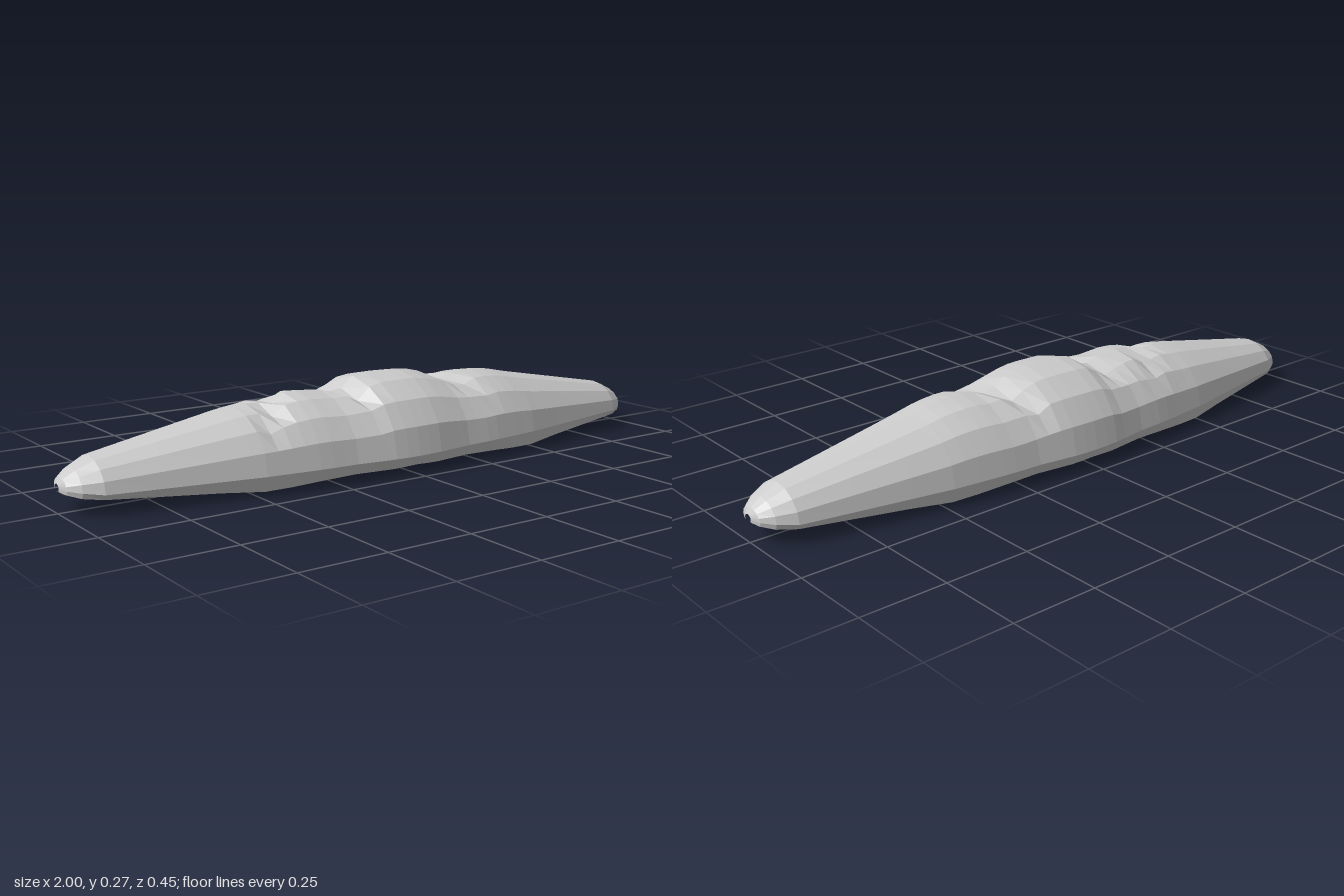
import * as THREE from 'three';

// Linear interpolation through [x, value] pairs
function sample(table, x) {
  for (let i = 1; i < table.length; i++) {
    const [x0, v0] = table[i - 1], [x1, v1] = table[i];
    if (x <= x1) return v0 + (v1 - v0) * Math.max(0, (x - x0) / (x1 - x0));
  }
  return table[table.length - 1][1];
}

// Half width, underside and widest-line height, by distance from the middle
const width = [[0, 0.225], [0.07, 0.223], [0.2, 0.205], [0.3, 0.2], [0.48, 0.18],
  [0.91, 0.1], [0.96, 0.073], [0.99, 0.043], [1, 0.014]];
const under = [[0, 0.014], [0.07, 0.011], [0.2, 0.011], [0.3, 0.008], [0.4, 0.002], [0.48, 0],
  [0.6, 0.012], [0.91, 0.036], [0.96, 0.043], [0.99, 0.053], [1, 0.06]];
const waist = [[0, 0.055], [0.91, 0.057], [1, 0.068]];
// Crest height along the loaf
const crest = [[-1, 0.08], [-0.99, 0.095], [-0.96, 0.118], [-0.91, 0.142], [-0.5, 0.215],
  [-0.44, 0.222], [-0.3, 0.244], [-0.2, 0.236], [-0.12, 0.243], [-0.07, 0.268], [0.07, 0.27],
  [0.13, 0.262], [0.2, 0.243], [0.27, 0.235], [0.34, 0.242], [0.42, 0.236], [0.5, 0.218],
  [0.91, 0.142], [0.96, 0.118], [0.99, 0.095], [1, 0.08]];

// Diagonal cuts on the crust: from (x, z) to (x, z), half width, depth
const slashes = [
  [-0.44, 0.15, -0.3, -0.15, 0.045, 0.026],
  [-0.1, 0.14, -0.17, -0.09, 0.045, 0.026],
  [0.29, 0.14, 0.16, -0.15, 0.045, 0.024],
];

function cutDepth(x, z) {
  let depth = 0;
  for (const [x0, z0, x1, z1, half, d] of slashes) {
    const t = (z - z0) / (z1 - z0);
    if (t < 0 || t > 1) continue;
    const gap = Math.abs(x - (x0 + (x1 - x0) * t));
    depth = Math.max(depth, d * Math.max(0, 1 - gap / half));
  }
  return depth;
}

// One cross-section: domed crust, then the ridged underside
function section(x) {
  const ax = Math.abs(x);
  const w = sample(width, ax), b = sample(under, ax), mid = sample(waist, ax);
  const rise = sample(crest, x) - mid, ring = [];
  for (let k = 0; k <= 8; k++) {
    const a = (k / 8) * Math.PI;
    const z = w * Math.cos(a), y = mid + rise * Math.sin(a);
    ring.push([x, y - cutDepth(x, z) * Math.sin(a), z]);
  }
  const lift = Math.min(1, w / 0.18);
  const base = [[0.92, 0.012], [0.75, 0.008], [0.36, 0], [0, 0.01], [-0.36, 0], [-0.75, 0.008], [-0.92, 0.012]];
  for (const [s, dy] of base.reverse()) ring.push([x, Math.min(b + dy * lift, mid - 0.002), w * s]);
  return ring;
}

function loafGeometry() {
  const stations = [-1, -0.99, -0.96, -0.91, -0.75];
  for (let i = -15; i <= 15; i++) stations.push(i * 0.04);
  stations.push(0.75, 0.91, 0.96, 0.99, 1);
  const rings = stations.map(section), n = rings[0].length, index = [];
  for (let i = 0; i < rings.length - 1; i++) {
    for (let j = 0; j < n; j++) {
      const a = i * n + j, c = i * n + (j + 1) % n;
      index.push(a, a + n, c, c, a + n, c + n);
    }
  }
  const geo = new THREE.BufferGeometry();
  geo.setAttribute('position', new THREE.Float32BufferAttribute(rings.flat(2), 3));
  geo.setIndex(index);
  const flat = geo.toNonIndexed();
  flat.computeVertexNormals();
  return flat;
}

export function createModel() {
  const group = new THREE.Group();
  group.name = 'breadLoaf';
  const material = new THREE.MeshStandardMaterial({ color: 0xcccccc, flatShading: true });
  const loaf = new THREE.Mesh(loafGeometry(), material);
  loaf.name = 'slashedLoaf';
  group.add(loaf);
  return group;
}
